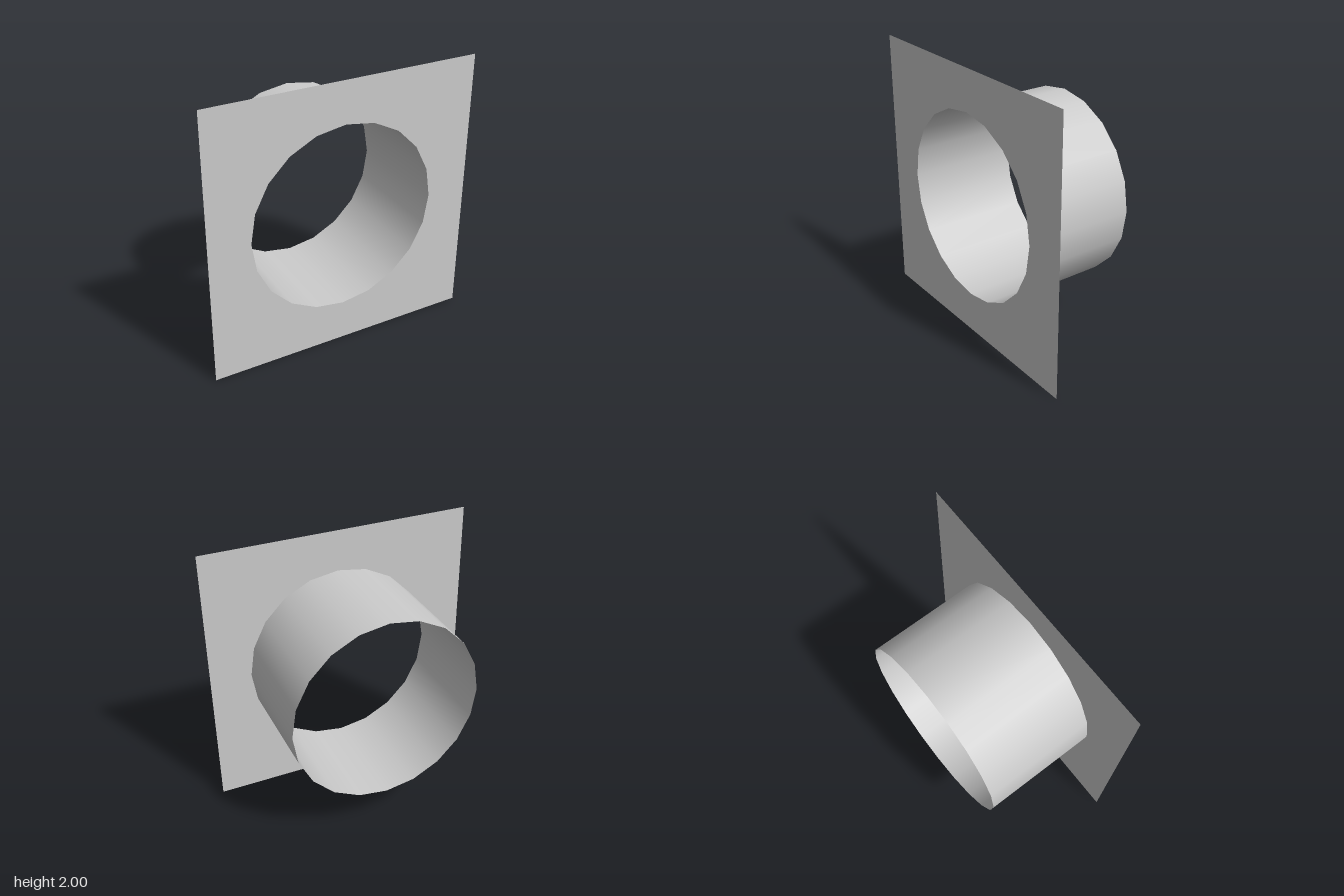
import * as THREE from 'three';

const SIDES = 20, RADIUS = 0.695, DEPTH = 0.83;

export function createModel() {
  const group = new THREE.Group();
  group.name = 'wallFlange';
  const material = new THREE.MeshStandardMaterial({ color: 0xcccccc, side: THREE.DoubleSide });

  // Thin square plate with a 20-sided opening
  const outline = new THREE.Shape([[-1, -1], [1, -1], [1, 1], [-1, 1]].map(([x, y]) => new THREE.Vector2(x, y)));
  const rim = Array.from({ length: SIDES }, (_, i) => {
    const a = -i / SIDES * Math.PI * 2;
    return new THREE.Vector2(Math.cos(a) * RADIUS, Math.sin(a) * RADIUS);
  });
  outline.holes.push(new THREE.Path(rim));
  const plate = new THREE.Mesh(new THREE.ShapeGeometry(outline), material);
  plate.name = 'facePlate';
  plate.position.set(0, 1, DEPTH / 2);
  group.add(plate);

  // Open duct running back from the opening
  const tube = new THREE.CylinderGeometry(RADIUS, RADIUS, DEPTH, SIDES, 1, true).rotateX(Math.PI / 2);
  const duct = new THREE.Mesh(tube, material);
  duct.name = 'ductTube';
  duct.position.y = 1;
  group.add(duct);

  return group;
}
